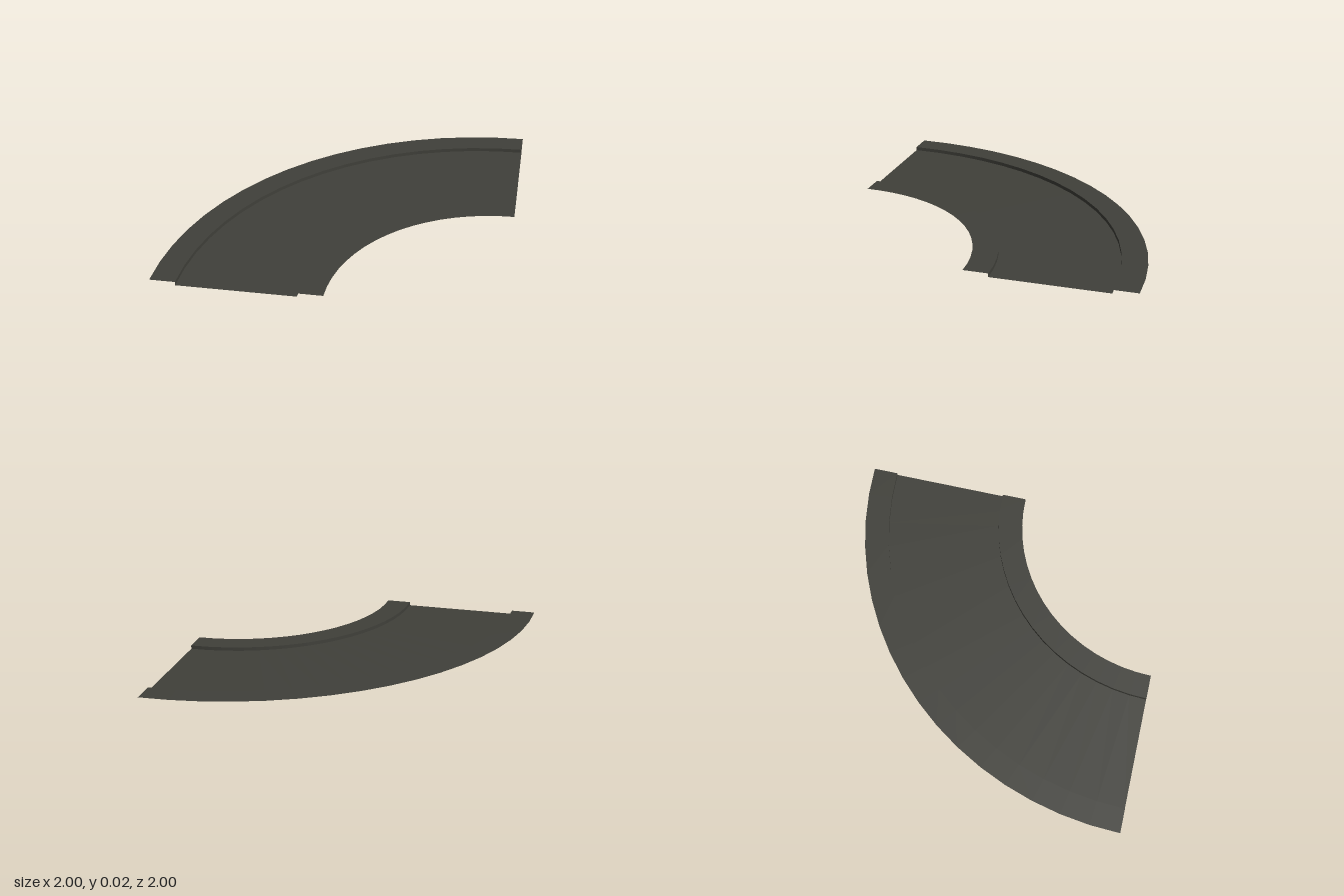
import * as THREE from 'three';

export function createModel() {
  const group = new THREE.Group();
  const asphalt = new THREE.MeshStandardMaterial({ color: 0x40403a, side: THREE.DoubleSide });
  asphalt.name = 'asphalt';

  const kerbHeight = 0.022;

  // Sweep one straight profile piece through the quarter bend around (1, 1)
  function band(name, r1, y1, r2, y2) {
    const profile = [new THREE.Vector2(r1, y1), new THREE.Vector2(r2, y2)];
    const mesh = new THREE.Mesh(new THREE.LatheGeometry(profile, 17, Math.PI, Math.PI / 2), asphalt);
    mesh.name = name;
    mesh.position.set(1, 0, 1);
    group.add(mesh);
  }

  // Outer edge to inner edge, so every piece faces up or towards the road
  band('outerPavement', 2, kerbHeight, 1.85, kerbHeight);
  band('outerKerb', 1.85, kerbHeight, 1.85, 0);
  band('roadSurface', 1.85, 0, 1.15, 0);
  band('innerKerb', 1.15, 0, 1.15, kerbHeight);
  band('innerPavement', 1.15, kerbHeight, 1, kerbHeight);

  return group;
}
